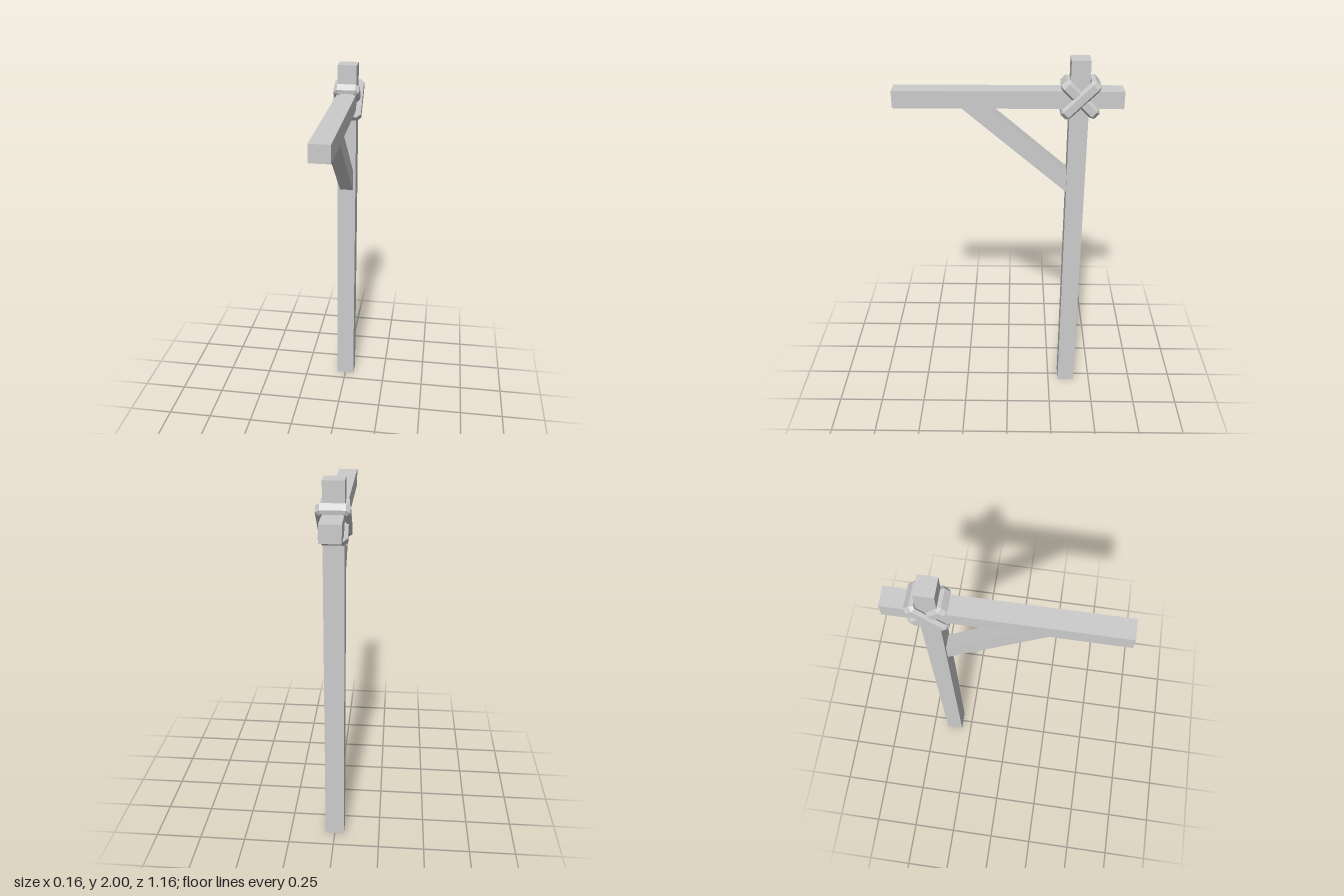
import * as THREE from 'three';

const material = new THREE.MeshStandardMaterial({ color: 0xcccccc, flatShading: true });

function addMesh(group, name, geometry, x = 0, y = 0, z = 0) {
  const mesh = new THREE.Mesh(geometry, material);
  mesh.name = name;
  mesh.position.set(x, y, z);
  group.add(mesh);
  return mesh;
}

// Rectangle of half sizes a, b with its corners cut by c, counter-clockwise
function cutRectangle(a, b, c) {
  return [
    [a, -b + c], [a, b - c], [a - c, b], [-a + c, b],
    [-a, b - c], [-a, -b + c], [-a + c, -b], [a - c, -b],
  ];
}

// Closed rope loop with a hexagonal section, lying in the xy plane
function ropeLoop(halfX, halfY, thickness, halfWidth) {
  const t = thickness / 2, w = halfWidth;
  const section = [[t, -0.6 * w], [t, 0.6 * w], [0, w], [-t, 0.6 * w], [-t, -0.6 * w], [0, -w]];
  const rings = section.map(([out, z]) =>
    cutRectangle(halfX - t + out, halfY - t + out, 0.01 + 0.586 * out)
      .map(([x, y]) => [x, y, z]));
  const positions = [];
  for (let j = 0; j < 6; j++) {
    const r0 = rings[j], r1 = rings[(j + 1) % 6];
    for (let i = 0; i < 8; i++) {
      const k = (i + 1) % 8;
      positions.push(...r0[i], ...r0[k], ...r1[k], ...r0[i], ...r1[k], ...r1[i]);
    }
  }
  const geometry = new THREE.BufferGeometry();
  geometry.setAttribute('position', new THREE.Float32BufferAttribute(positions, 3));
  geometry.computeVertexNormals();
  return geometry;
}

export function createModel() {
  const group = new THREE.Group();
  group.name = 'timberSignPost';
  const postZ = -0.357, beamY = 1.803;

  // Upright and crossbeam
  addMesh(group, 'post', new THREE.BoxGeometry(0.104, 2, 0.096), 0, 1, postZ);
  addMesh(group, 'beam', new THREE.BoxGeometry(0.104, 0.089, 1.16), 0, beamY, 0);

  // Diagonal brace: side profile (z, y) extruded across x
  const profile = new THREE.Shape([
    [-0.309, 1.29], [-0.309, 1.41], [0.1, 1.759], [0.24, 1.759],
  ].map(([z, y]) => new THREE.Vector2(-z, y)));
  const brace = new THREE.ExtrudeGeometry(profile, { depth: 0.074, bevelEnabled: false });
  brace.translate(0, 0, -0.037).rotateY(Math.PI / 2);
  addMesh(group, 'brace', brace);

  // Two rope loops crossed over the joint
  const outer = addMesh(group, 'outerRope', ropeLoop(0.081, 0.121, 0.034, 0.031), 0, beamY + 0.002, -0.361);
  outer.rotation.x = -Math.PI / 4;
  const inner = addMesh(group, 'innerRope', ropeLoop(0.07, 0.121, 0.034, 0.031), 0, beamY + 0.002, -0.361);
  inner.rotation.x = Math.PI / 4;

  return group;
}
